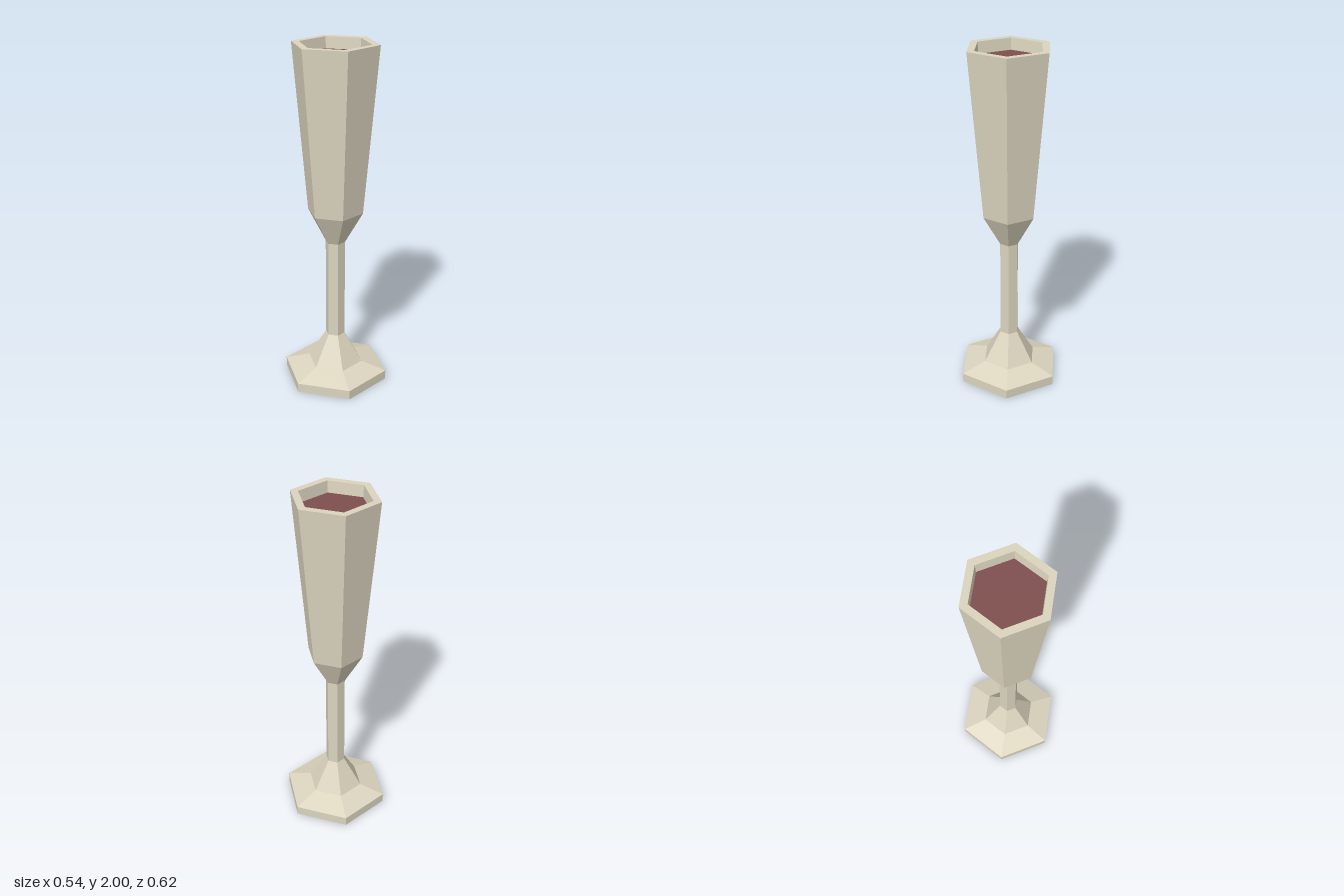
import * as THREE from 'three';

const SIDES = 6;

// Faceted hexagonal solid of revolution, corners on the z axis
function facetedLathe(profile) {
  const points = profile.map(([r, y]) => new THREE.Vector2(r, y));
  const geometry = new THREE.LatheGeometry(points, SIDES).toNonIndexed();
  geometry.computeVertexNormals();
  return geometry;
}

export function createModel() {
  const goblet = new THREE.Group();
  goblet.name = 'goblet';

  const ivory = new THREE.MeshStandardMaterial({ color: 0xdbd4be });
  ivory.name = 'ivory';
  const wine = new THREE.MeshStandardMaterial({ color: 0x7f4f4f });
  wine.name = 'wine red';

  const add = (name, profile, material) => {
    const mesh = new THREE.Mesh(facetedLathe(profile), material);
    mesh.name = name;
    goblet.add(mesh);
  };

  // Foot: flat slab with a sloped top, rising into a cone
  add('foot', [[0, 0], [0.31, 0], [0.31, 0.055], [0.163, 0.1], [0.057, 0.28]], ivory);

  // Slim straight stem
  add('stem', [[0.057, 0.28], [0.057, 0.87]], ivory);

  // Tall flared cup with a thick rim and inner wall
  add('cup', [[0.057, 0.87], [0.16, 1.055], [0.243, 2], [0.199, 2], [0.194, 1.935]], ivory);

  // Drink surface just below the rim
  add('drink', [[0.194, 1.935], [0, 1.935]], wine);

  return goblet;
}
